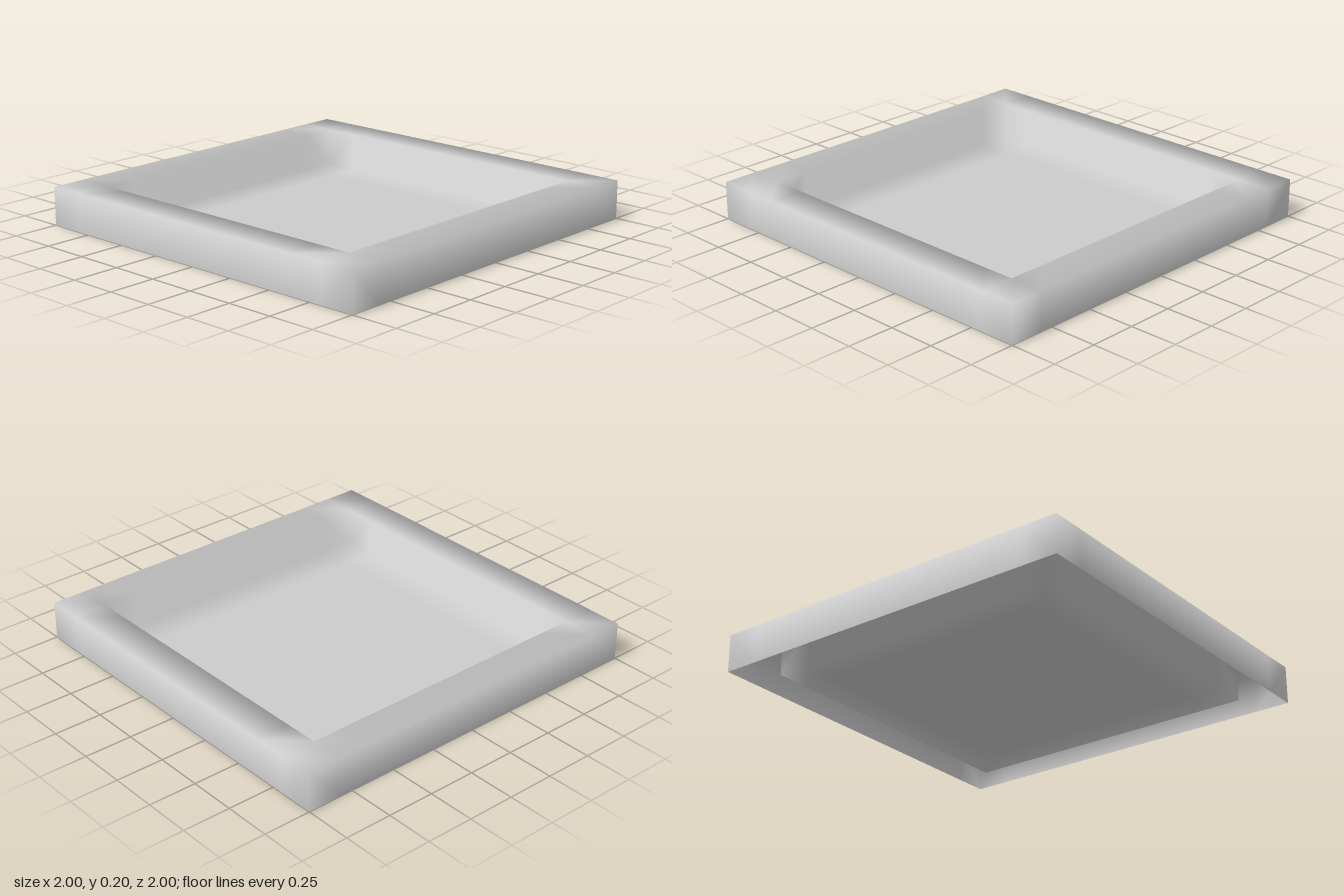
import * as THREE from 'three';
import { mergeVertices } from 'three/addons/utils/BufferGeometryUtils.js';

// Folds a flat grid into a square tray: skirt, flat rim, inner wall and floor.
function trayGeometry(height) {
  // Grid lines across the tray; repeated lines make the vertical walls.
  const steps = [0, 0, 1, 1, 2, 3, 4, 5, 6, 7, 8, 9, 10, 10, 11, 11];
  const n = steps.length - 1;
  const line = (i) => -1 + (2 * steps[i]) / 11;

  const geometry = new THREE.PlaneGeometry(2, 2, n, n);
  const position = geometry.attributes.position;
  for (let row = 0; row <= n; row++) {
    for (let col = 0; col <= n; col++) {
      // Ring 0 is the foot of the skirt, 1 and 2 the rim, the rest the floor.
      const ring = Math.min(row, col, n - row, n - col);
      const y = ring === 1 || ring === 2 ? height : 0;
      position.setXYZ(row * (n + 1) + col, line(col), y, line(row));
    }
  }

  // Join the folded corners so the shading flows over every edge.
  geometry.deleteAttribute('uv');
  geometry.deleteAttribute('normal');
  const joined = mergeVertices(geometry, 1e-4);

  // Drop the triangles that collapsed in the corners.
  const index = joined.index.array;
  const p = [new THREE.Vector3(), new THREE.Vector3(), new THREE.Vector3()];
  const triangle = new THREE.Triangle(...p);
  const kept = [];
  for (let i = 0; i < index.length; i += 3) {
    p.forEach((v, k) => v.fromBufferAttribute(joined.attributes.position, index[i + k]));
    if (triangle.getArea() > 1e-6) kept.push(index[i], index[i + 1], index[i + 2]);
  }
  joined.setIndex(kept);
  joined.computeVertexNormals();
  return joined;
}

export function createModel() {
  const model = new THREE.Group();
  model.name = 'squareTray';

  const material = new THREE.MeshStandardMaterial({ color: 0xcccccc, side: THREE.DoubleSide });
  const tray = new THREE.Mesh(trayGeometry(0.2), material);
  tray.name = 'tray';
  model.add(tray);

  return model;
}
